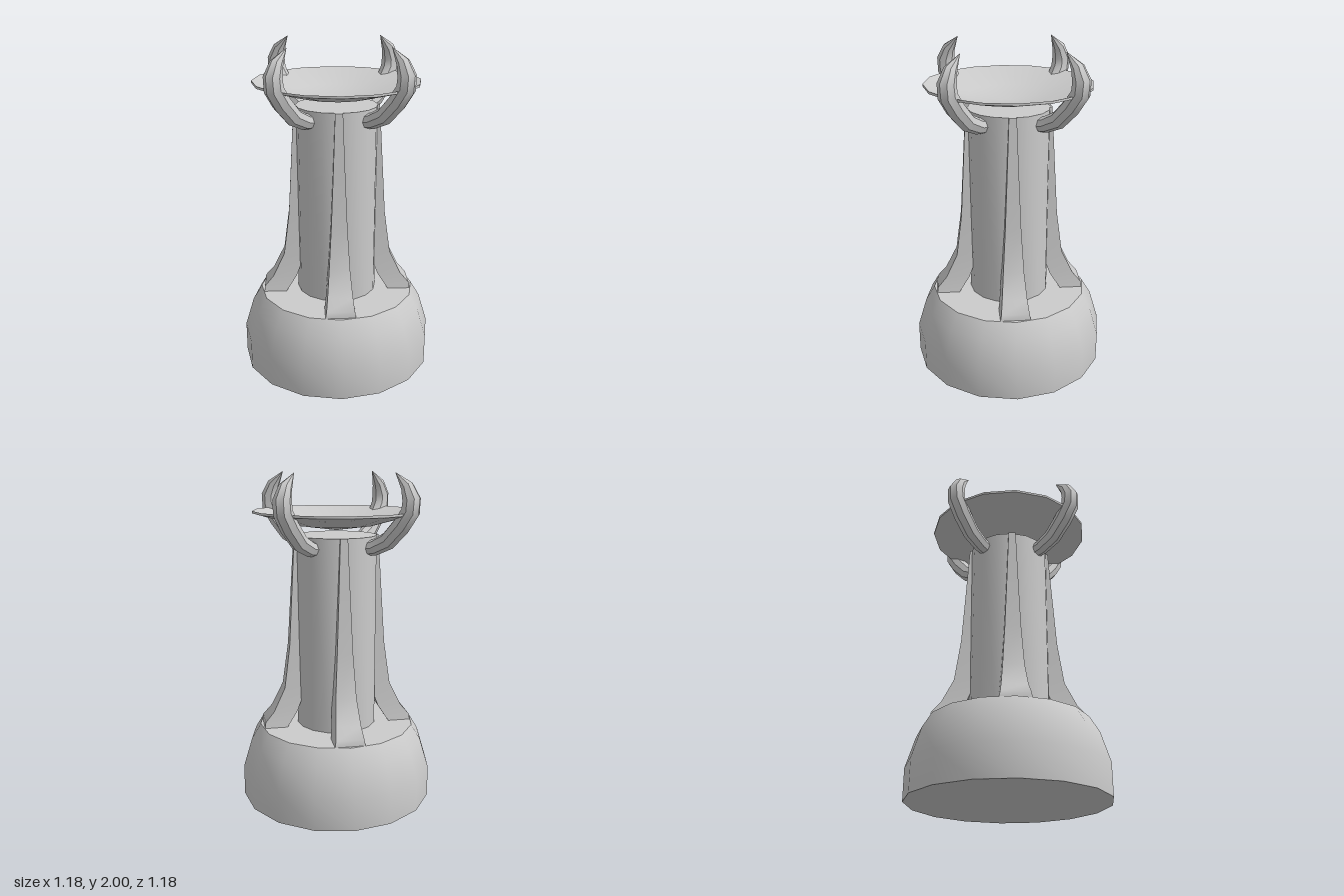
import * as THREE from 'three';
import { toCreasedNormals } from 'three/addons/utils/BufferGeometryUtils.js';

const material = new THREE.MeshStandardMaterial({ color: 0xcccccc });
const v2 = (p) => new THREE.Vector2(p[0], p[1]);

function part(name, geometry) {
  const mesh = new THREE.Mesh(toCreasedNormals(geometry, 0.6), material);
  mesh.name = name;
  return mesh;
}

// Turned part with 16 sides; profile is [radius, y] from bottom to top
const turned = (name, profile) => part(name, new THREE.LatheGeometry(profile.map(v2), 16));

// Capped skin over rings of points, each ring counterclockwise about the path
function loft(rings) {
  const n = rings[0].length;
  const index = [];
  for (let i = 0; i < rings.length - 1; i++) {
    for (let j = 0; j < n; j++) {
      const a = i * n + j;
      const b = i * n + ((j + 1) % n);
      index.push(a, b, b + n, a, b + n, a + n);
    }
  }
  const last = (rings.length - 1) * n;
  for (let j = 1; j < n - 1; j++) {
    index.push(0, j + 1, j, last, last + j, last + j + 1);
  }
  const geometry = new THREE.BufferGeometry();
  geometry.setAttribute('position', new THREE.Float32BufferAttribute(rings.flat(2), 3));
  geometry.setIndex(index);
  geometry.computeVertexNormals();
  return geometry;
}

// Flared buttress; sections are [inner radius, outer radius, y, half width]
function finGeometry() {
  const sections = [
    [0.32, 0.46, 0.465, 0.09],
    [0.297, 0.455, 0.5, 0.084],
    [0.255, 0.4, 0.565, 0.075],
    [0.2, 0.33, 0.71, 0.062],
    [0.2, 0.295, 0.97, 0.047],
    [0.2, 0.275, 1.3, 0.034],
    [0.2, 0.255, 1.635, 0.022],
  ];
  return loft(sections.map(([inner, outer, y, w]) => [
    [outer, y, w], [outer, y, -w], [inner, y, -w], [inner, y, w],
  ]));
}

// Curved, tapering prong; path points are [radius from axis, y, thickness]
function clawGeometry() {
  const path = [
    [0.2, 1.565, 0.042],
    [0.27, 1.577, 0.047],
    [0.36, 1.62, 0.052],
    [0.445, 1.71, 0.055],
    [0.5, 1.79, 0.055],
    [0.505, 1.855, 0.053],
    [0.475, 1.925, 0.038],
    [0.4, 2.0, 0.001],
  ];
  const sides = 8;
  return loft(path.map(([x, y, r], i) => {
    const before = v2(path[Math.max(i - 1, 0)]);
    const after = v2(path[Math.min(i + 1, path.length - 1)]);
    const t = after.sub(before).normalize();
    return Array.from({ length: sides }, (_, j) => {
      const a = (j / sides) * Math.PI * 2;
      const c = r * Math.cos(a);
      return [x + t.y * c, y - t.x * c, -r * Math.sin(a)];
    });
  }));
}

export function createModel() {
  const model = new THREE.Group();
  model.name = 'pedestal';

  model.add(turned('base', [[0, 0], [0.592, 0], [0.592, 0.19], [0.537, 0.37], [0.48, 0.465], [0, 0.465]]));
  model.add(turned('column', [[0, 0.46], [0.245, 0.46], [0.245, 1.635], [0, 1.635]]));

  // Shallow hollow dish held by the claws
  model.add(turned('dish', [
    [0, 1.662], [0.24, 1.696], [0.495, 1.766], [0.495, 1.78], [0.24, 1.712], [0, 1.678],
  ]));

  // Fins on the axes, claws on the diagonals
  const fin = finGeometry();
  const claw = clawGeometry();
  for (let k = 0; k < 4; k++) {
    const finMesh = part('fin', fin);
    finMesh.rotation.y = (k * Math.PI) / 2;
    const clawMesh = part('claw', claw);
    clawMesh.rotation.y = (k * Math.PI) / 2 + Math.PI / 4;
    model.add(finMesh, clawMesh);
  }
  return model;
}
